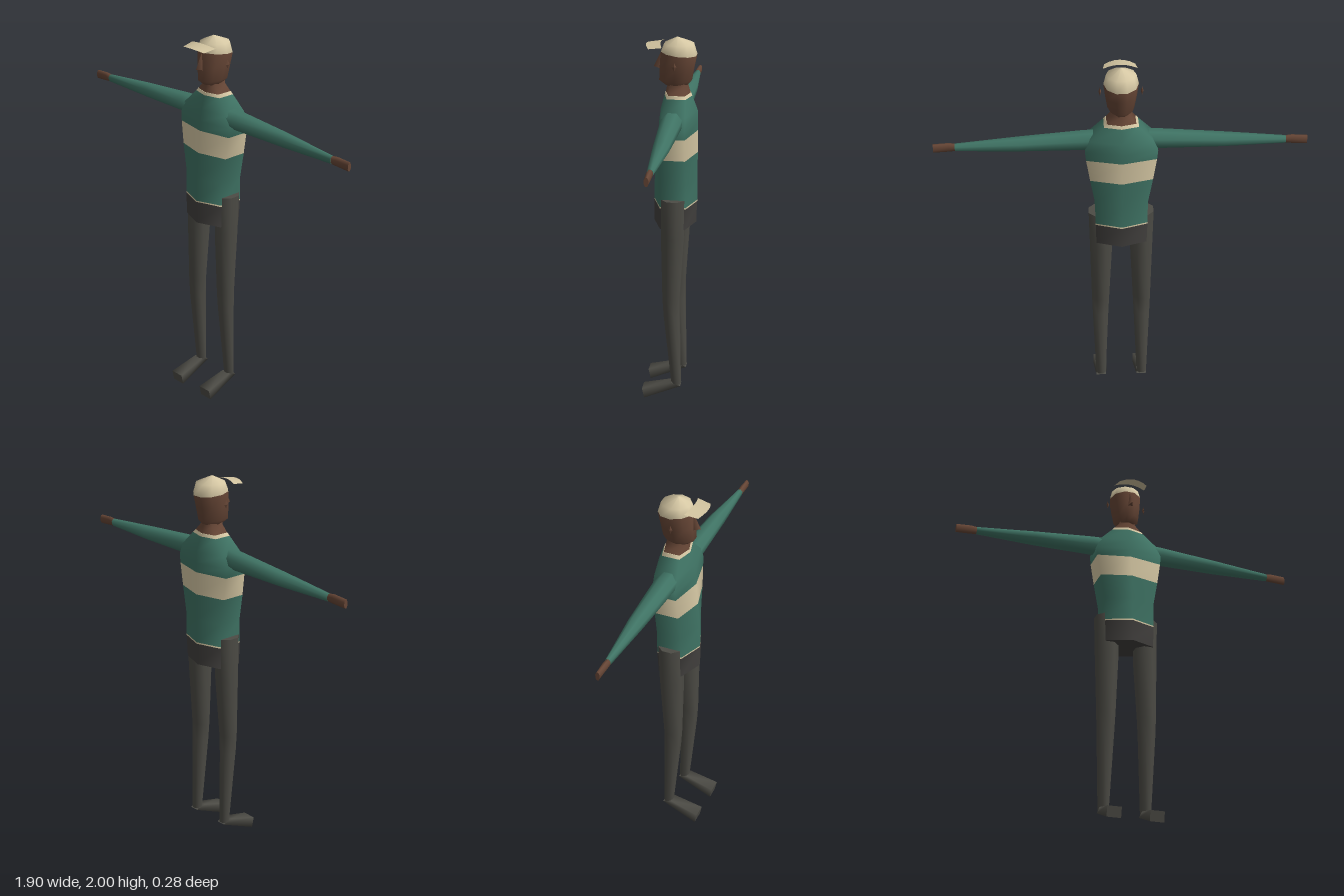
import * as THREE from 'three';

const mat = (name, color, side = THREE.FrontSide) => {
  const m = new THREE.MeshStandardMaterial({ color, side });
  m.name = name;
  return m;
};

// Points of an oval cross-section lying flat, optionally tilted along z
function oval(y, x, rx, zc, rz, n = 10, tilt = 0) {
  return Array.from({ length: n }, (_, i) => {
    const a = ((i + 0.5) / n) * Math.PI * 2;
    const z = zc + rz * Math.cos(a);
    return [x + rx * Math.sin(a), y + tilt * (z - zc), z];
  });
}

// Skin over a list of cross-sections; each band can take its own material
function loft(name, rings, materials) {
  const n = rings[0].length;
  const pos = rings.flat(2);
  const idx = [];
  const bands = [];
  for (let r = 0; r < rings.length - 1; r++) {
    const start = idx.length;
    for (let i = 0; i < n; i++) {
      const a = r * n + i, b = r * n + ((i + 1) % n);
      idx.push(a, b, b + n, a, b + n, a + n);
    }
    bands.push([start, idx.length - start, r]);
  }
  // End caps with their own corners, so the rims stay sharp
  [0, rings.length - 1].forEach((r, end) => {
    const base = pos.length / 3, start = idx.length;
    pos.push(...rings[r].flat());
    for (let i = 1; i < n - 1; i++) {
      idx.push(base, base + (end ? i : i + 1), base + (end ? i + 1 : i));
    }
    bands.push([start, idx.length - start, end ? r - 1 : 0]);
  });
  // Turn the faces outward
  let volume = 0;
  const p = (i) => new THREE.Vector3().fromArray(pos, idx[i] * 3);
  for (let i = 0; i < idx.length; i += 3) volume += p(i).dot(p(i + 1).cross(p(i + 2)));
  if (volume < 0) {
    for (let i = 0; i < idx.length; i += 3) [idx[i], idx[i + 1]] = [idx[i + 1], idx[i]];
  }
  const geo = new THREE.BufferGeometry();
  geo.setAttribute('position', new THREE.Float32BufferAttribute(pos, 3));
  geo.setIndex(idx);
  geo.computeVertexNormals();
  if (Array.isArray(materials)) bands.forEach(([s, c, r]) => geo.addGroup(s, c, r));
  const mesh = new THREE.Mesh(geo, materials);
  mesh.name = name;
  return mesh;
}

export function createModel() {
  const model = new THREE.Group();
  model.name = 'figure';
  const green = mat('green jersey', 0x3f7364);
  const cream = mat('cream', 0xd6c8a4);
  const skin = mat('brown skin', 0x654535);
  const trousers = mat('grey trousers', 0x4c4b45);
  const hipGrey = mat('dark grey waist', 0x413f3d);
  const brimCream = mat('cream brim', 0xd0c29e, THREE.DoubleSide);

  // Six-sided body section: ridge at front and back centre, flat flanks
  const body = ([y, w, front, side, sideBack, back]) => [
    [0, y, front], [w, y, side], [w, y, sideBack],
    [0, y, back], [-w, y, sideBack], [-w, y, side],
  ];

  // Hips and striped jersey
  model.add(loft('hips', [
    [1.0, 0.132, 0.09, 0.04, -0.09, -0.135],
    [1.118, 0.135, 0.09, 0.04, -0.095, -0.138],
  ].map(body), hipGrey));
  model.add(loft('jersey', [
    [1.117, 0.135, 0.09, 0.04, -0.095, -0.14],
    [1.125, 0.135, 0.09, 0.04, -0.095, -0.14],
    [1.25, 0.136, 0.087, 0.038, -0.095, -0.14],
    [1.39, 0.161, 0.076, 0.035, -0.095, -0.14],
    [1.51, 0.18, 0.066, 0.03, -0.095, -0.14],
    [1.56, 0.185, 0.062, 0.028, -0.095, -0.14],
    [1.62, 0.16, 0.054, 0.025, -0.095, -0.138],
    [1.695, 0.088, 0.034, 0.01, -0.085, -0.11],
    [1.71, 0.077, 0.03, 0.005, -0.08, -0.104],
  ].map(body), [cream, green, green, cream, green, green, green, cream]));
  model.add(loft('neck', [
    [1.708, 0.076, 0.028, 0.005, -0.08, -0.102],
    [1.75, 0.043, 0.02, 0, -0.07, -0.09],
    [1.78, 0.04, 0.015, 0, -0.07, -0.085],
  ].map(body), skin));

  // Head with the cap crown above a slightly sloping edge
  const head = ([y, rx, zf, zb, tilt = 0]) => oval(y, 0, rx, (zf + zb) / 2, (zf - zb) / 2, 10, tilt);
  model.add(loft('headAndCap', [
    [1.75, 0.04, 0.03, -0.085],
    [1.777, 0.068, 0.063, -0.11],
    [1.85, 0.08, 0.06, -0.124],
    [1.918, 0.088, 0.054, -0.136, 0.1],
    [1.968, 0.076, 0.037, -0.118],
    [2.0, 0.004, -0.028, -0.036],
  ].map(head), [skin, skin, skin, cream, cream]));

  model.add(loft('nose', [
    [[-0.003, 1.92, 0.045], [0, 1.92, 0.053], [0.003, 1.92, 0.045]],
    [[-0.016, 1.835, 0.05], [0, 1.842, 0.09], [0.016, 1.835, 0.05]],
  ], skin));

  // Curved cap brim, arched across its width
  const brimGeo = new THREE.PlaneGeometry(2, 1, 6, 1);
  const bp = brimGeo.attributes.position;
  for (let i = 0; i < bp.count; i++) {
    const u = bp.getX(i), outer = bp.getY(i) < 0;
    const z = outer ? 0.128 - 0.022 * u * u : 0.052 - 0.016 * u * u;
    bp.setXYZ(i, u * (outer ? 0.078 : 0.087), (outer ? 1.962 : 1.973) - 0.012 * u * u, z);
  }
  brimGeo.computeVertexNormals();
  const brim = new THREE.Mesh(brimGeo, brimCream);
  brim.name = 'capBrim';
  model.add(brim);

  // Arm section: upright octagon at distance x from the middle
  const armRing = (s) => ([x, bottom, top, front, back]) =>
    oval(0, 0, 1, 0, 1, 8).map(([u, , v]) => [
      s * x, (bottom + top) / 2 + u * (top - bottom) * 0.54, (front + back) / 2 + v * (front - back) * 0.54,
    ]);
  const legRing = (s) => ([y, inner, outer, front, back]) =>
    oval(y, (s * (inner + outer)) / 2, (outer - inner) * 0.54, (front + back) / 2, (front - back) * 0.54, 8);

  for (const [s, label] of [[1, 'left'], [-1, 'right']]) {
    model.add(loft(label + 'Sleeve', [
      [0.13, 1.548, 1.64, 0.028, -0.08],
      [0.2, 1.547, 1.638, 0.026, -0.08],
      [0.52, 1.546, 1.615, 0.01, -0.068],
      [0.84, 1.55, 1.588, -0.012, -0.042],
    ].map(armRing(s)), green));
    model.add(loft(label + 'Hand', [
      [0.835, 1.551, 1.587, -0.013, -0.041],
      [0.87, 1.548, 1.592, -0.013, -0.041],
      [0.95, 1.543, 1.588, -0.016, -0.038],
    ].map(armRing(s)), skin));

    model.add(loft(label + 'Leg', [
      [1.165, 0.05, 0.17, 0.035, -0.09],
      [0.95, 0.048, 0.165, 0.035, -0.085],
      [0.6, 0.065, 0.158, 0.028, -0.062],
      [0.5, 0.07, 0.155, 0.022, -0.062],
      [0.085, 0.087, 0.14, -0.02, -0.07],
    ].map(legRing(s)), trousers));

    // Foot slopes down from the heel to the toe
    const footRing = ([w, topY, topZ, lowY, lowZ]) => [
      [s * 0.113 - w, topY, topZ], [s * 0.113 + w, topY, topZ],
      [s * 0.113 + w, lowY, lowZ], [s * 0.113 - w, lowY, lowZ],
    ];
    model.add(loft(label + 'Foot', [
      [0.027, 0.098, -0.022, 0.08, -0.07],
      [0.038, 0.055, 0.14, 0.0, 0.128],
    ].map(footRing), trousers));

    // Small pointed ear standing clear of the head
    const ear = new THREE.Mesh(new THREE.OctahedronGeometry(1), skin);
    ear.scale.set(0.007, 0.023, 0.012);
    ear.position.set(s * 0.105, 1.87, -0.03);
    ear.name = label + 'Ear';
    model.add(ear);
  }
  return model;
}
